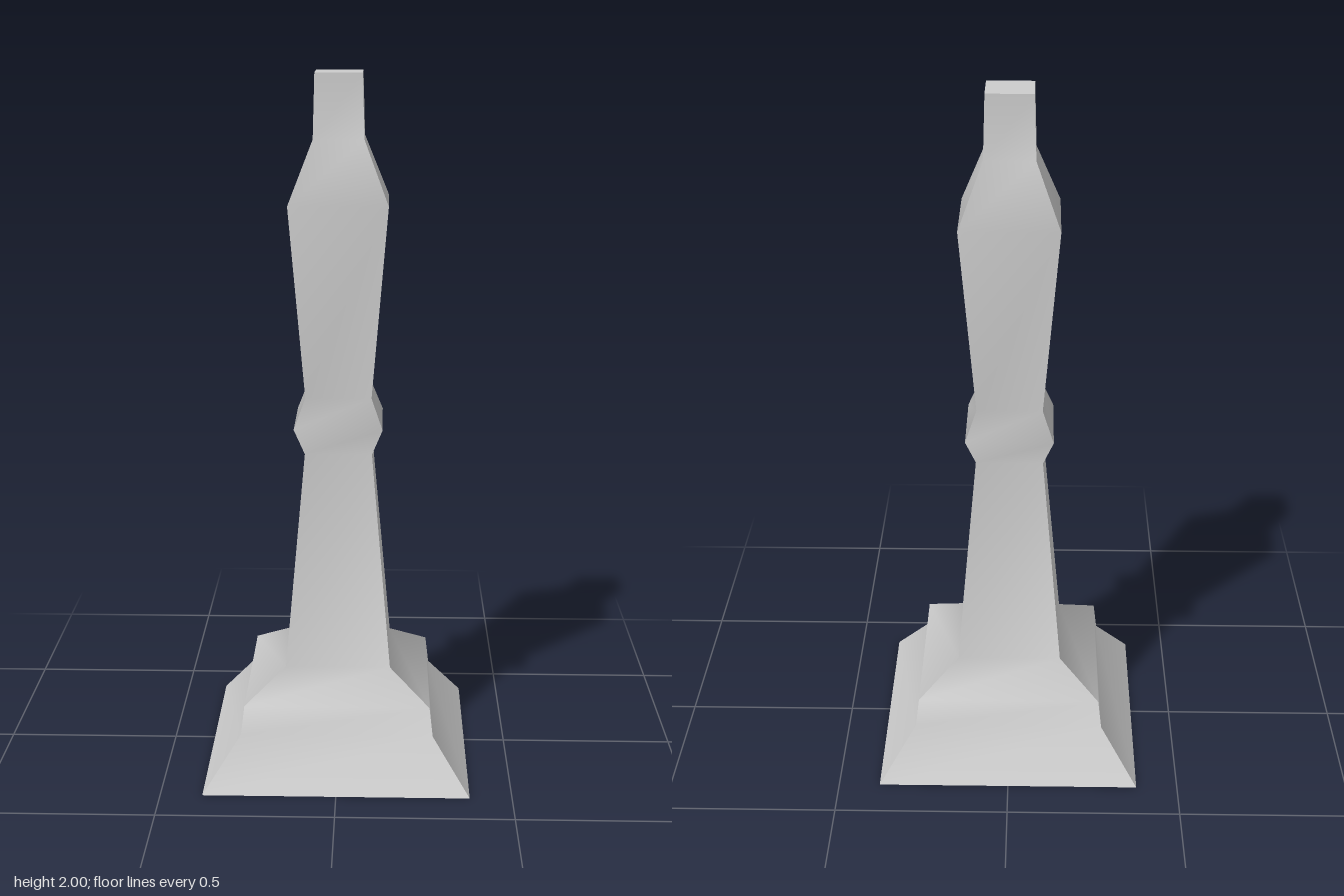
import * as THREE from 'three';
import { mergeGeometries } from 'three/addons/utils/BufferGeometryUtils.js';

// Square column profile, top to bottom: [half width, height]
const PROFILE = [
  [0.066, 2], [0.071, 1.82], [0.139, 1.645], [0.094, 1.095], [0.126, 1.01],
  [0.096, 0.93], [0.152, 0.3], [0.266, 0.224], [0.276, 0.14], [0.38, 0],
];

// One side: a strip following the profile, smooth along its height
function sideGeometry() {
  const geo = new THREE.PlaneGeometry(1, 1, 1, PROFILE.length - 1);
  const pos = geo.attributes.position;
  for (let i = 0; i < pos.count; i++) {
    const [half, y] = PROFILE[Math.floor(i / 2)];
    pos.setXYZ(i, i % 2 ? half : -half, y, half);
  }
  geo.computeVertexNormals();
  return geo;
}

// Flat square closing one end
function capGeometry([half, y], facing) {
  return new THREE.PlaneGeometry(half * 2, half * 2)
    .rotateX(-facing * Math.PI / 2)
    .translate(0, y, 0);
}

export function createModel() {
  const group = new THREE.Group();
  group.name = 'squarePillar';
  const material = new THREE.MeshStandardMaterial({ color: 0xcccccc });
  const add = (name, geo) => {
    const mesh = new THREE.Mesh(geo, material);
    mesh.name = name;
    group.add(mesh);
  };

  // Four separate sides keep the corner edges sharp
  const sides = [0, 1, 2, 3].map((k) => sideGeometry().rotateY(k * Math.PI / 2));
  add('pillarSides', mergeGeometries(sides));
  add('topCap', capGeometry(PROFILE[0], 1));
  add('baseUnderside', capGeometry(PROFILE[PROFILE.length - 1], -1));
  return group;
}
